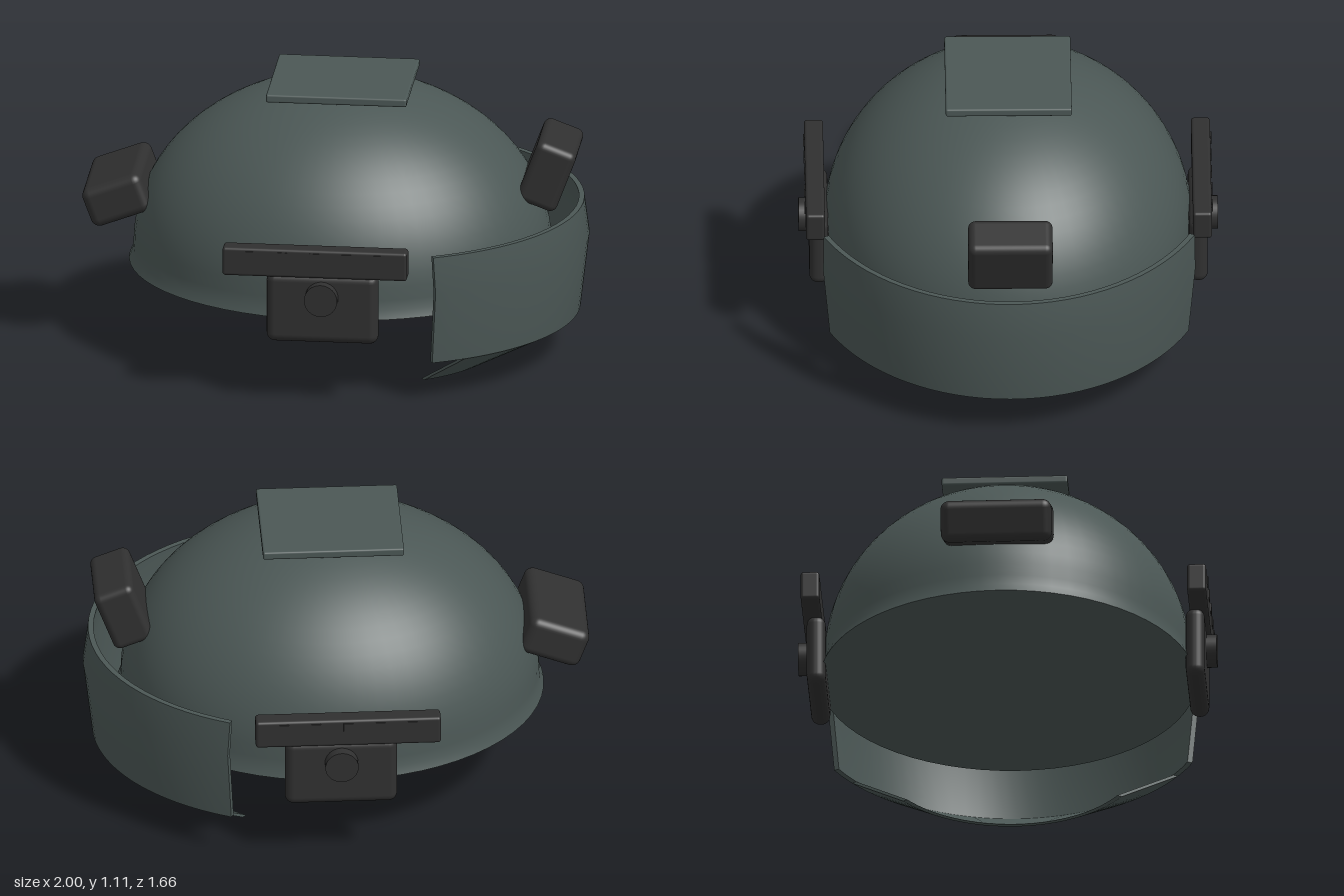
import * as THREE from 'three';
import { toCreasedNormals } from 'three/addons/utils/BufferGeometryUtils.js';
import { RoundedBoxGeometry } from 'three/addons/geometries/RoundedBoxGeometry.js';

const CX = 0.02; // centre of the shell along x

// Curved plate: sections [y, rx, rz] from bottom to top, swept over -half..half around +x
function curvedPlate(sections, half, thickness, steps = 32) {
  const n = sections.length;
  const loop = [
    ...sections.map((s) => [...s, 0]),
    ...[...sections].reverse().map((s) => [...s, thickness]),
  ];
  const point = (i, j) => {
    const a = -half + (2 * half * i) / steps;
    const [y, rx, rz, inset] = loop[j % loop.length];
    return [CX + (rx - inset) * Math.cos(a), y, (rz - inset) * Math.sin(a)];
  };
  const pos = [];
  const quad = (a, b, c, d) => pos.push(...a, ...b, ...c, ...a, ...c, ...d);
  for (let i = 0; i < steps; i++) {
    for (let j = 0; j < loop.length; j++) {
      quad(point(i, j), point(i, j + 1), point(i + 1, j + 1), point(i + 1, j));
    }
  }
  // End caps
  for (let k = 0; k < n - 1; k++) {
    const inner = 2 * n - 1 - k;
    quad(point(steps, k), point(steps, k + 1), point(steps, inner - 1), point(steps, inner));
    quad(point(0, inner), point(0, inner - 1), point(0, k + 1), point(0, k));
  }
  const g = new THREE.BufferGeometry();
  g.setAttribute('position', new THREE.Float32BufferAttribute(pos, 3));
  return toCreasedNormals(g, 0.5);
}

export function createModel() {
  const model = new THREE.Group();
  model.name = 'helmet';

  const shellGreen = new THREE.MeshStandardMaterial({ color: 0x4b5755 });
  shellGreen.name = 'grey green shell';
  const black = new THREE.MeshStandardMaterial({ color: 0x303030 });
  black.name = 'matte black';

  const add = (name, geometry, material, x = 0, y = 0, z = 0, parent = model) => {
    const mesh = new THREE.Mesh(geometry, material);
    mesh.name = name;
    mesh.position.set(x, y, z);
    parent.add(mesh);
    return mesh;
  };
  const rounded = (w, h, d, r) => new RoundedBoxGeometry(w, h, d, 4, r);

  // Dome with a slightly flared rim
  const profile = [new THREE.Vector2(1.022, 0.345), new THREE.Vector2(1.005, 0.38)];
  for (let i = 0; i <= 20; i++) {
    const a = (i / 20) * Math.PI / 2;
    profile.push(new THREE.Vector2(Math.max(0, Math.cos(a)), 0.42 + 0.68 * Math.sin(a)));
  }
  const dome = add('dome', new THREE.LatheGeometry(profile, 64), shellGreen, CX);
  dome.scale.set(0.83, 1, 0.73);
  const underside = add('underside', new THREE.CircleGeometry(1.022, 64), shellGreen, CX, 0.345);
  underside.rotation.x = Math.PI / 2;
  underside.scale.set(0.83, 0.73, 1);

  // Top plate
  add('topPlate', rounded(0.56, 0.033, 0.5, 0.008), shellGreen, CX, 1.092, 0);

  // Face guard: upright band and inward-sloping chin
  add('guardBand', curvedPlate([[0.17, 0.945, 0.8], [0.47, 0.98, 0.83], [0.62, 0.96, 0.827]], 1.095, 0.022), shellGreen);
  add('guardChin', curvedPlate([[0, 0.63, 0.537], [0.17, 0.945, 0.8]], 0.942, 0.022), shellGreen);

  // Boxes at both ends of the dome
  add('rearBox', rounded(0.25, 0.165, 0.44, 0.035), black, -0.862, 0.625, 0).rotation.z = 0.36;
  add('browBox', rounded(0.165, 0.265, 0.335, 0.03), black, 0.848, 0.77, 0).rotation.z = -0.36;

  // Side gear, mirrored front and back
  for (const side of [1, -1]) {
    const gear = new THREE.Group();
    gear.name = side > 0 ? 'frontSideGear' : 'backSideGear';
    model.add(gear);
    add('rail', rounded(0.735, 0.117, 0.075, 0.012), black, -0.007, 0.598, side * 0.767, gear);
    for (let i = 0; i < 5; i++) {
      add('railStud', new THREE.BoxGeometry(0.038, 0.036, 0.02), black, -0.262 + i * 0.1275, 0.626, side * 0.799, gear);
    }
    add('earPad', rounded(0.445, 0.29, 0.075, 0.035), black, CX, 0.405, side * 0.752, gear);
    const knob = add('knob', new THREE.CylinderGeometry(0.066, 0.066, 0.07, 32), black, CX, 0.455, side * 0.796, gear);
    knob.rotation.x = Math.PI / 2;
  }
  return model;
}
